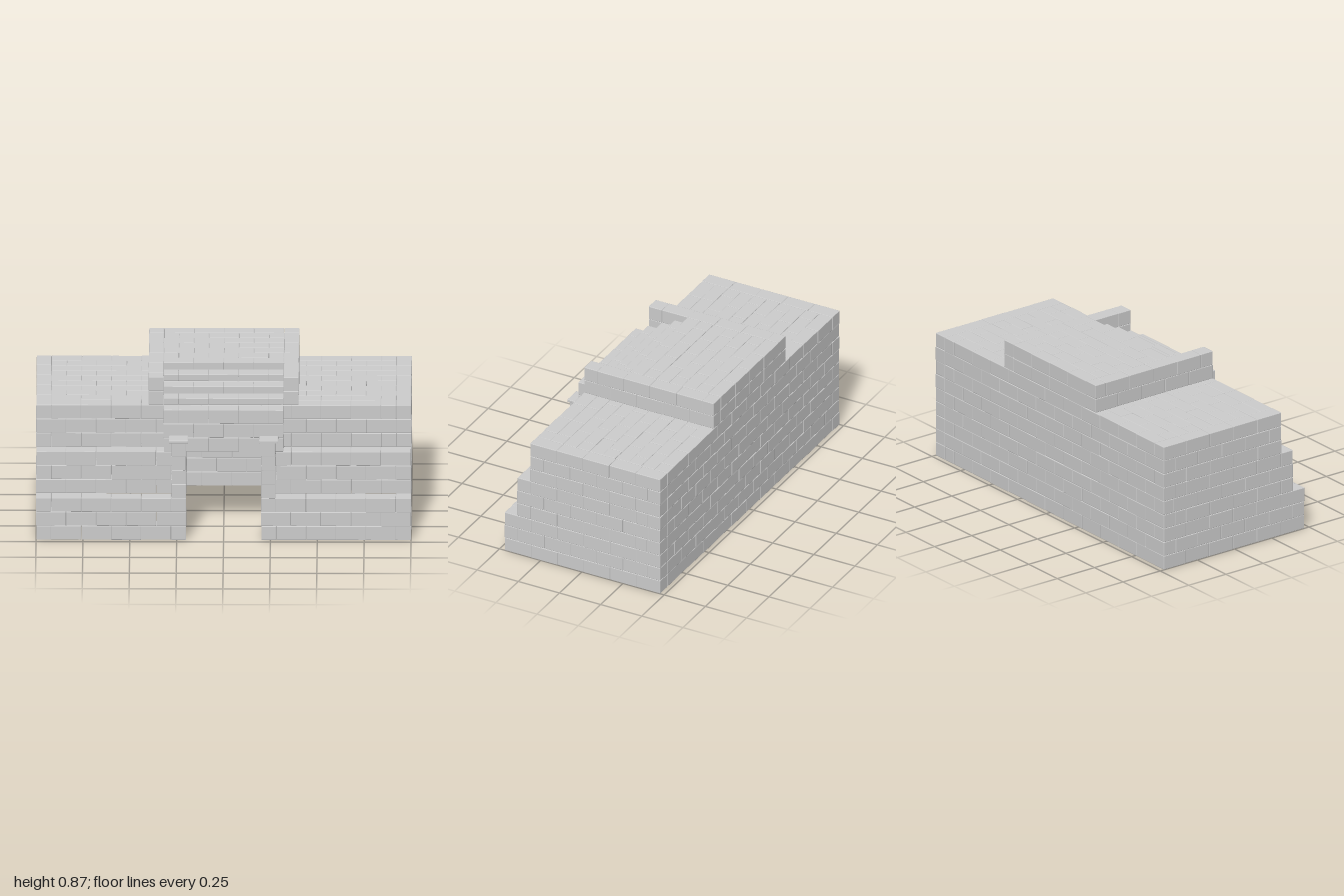
import * as THREE from 'three';
import { RoundedBoxGeometry } from 'three/addons/geometries/RoundedBoxGeometry.js';
import { mergeGeometries } from 'three/addons/utils/BufferGeometryUtils.js';

const H = 0.0787;       // course height
const L = 0.16;         // brick length
const T = 0.08;         // brick thickness
const BACK = -0.475;
const FRONTS = [0.47, 0.393, 0.315]; // front plane of each three-course tier

export function createModel() {
  const model = new THREE.Group();
  const material = new THREE.MeshStandardMaterial({ color: 0xcccccc, flatShading: true });
  const parts = {};
  let seed = 7;
  const wobble = () => ((seed = (seed * 16807) % 2147483647) / 2147483647 - 0.5) * 0.003;

  // one worn brick between two corners
  function brick(part, x0, x1, y0, y1, z0, z1) {
    const [a, b] = [Math.min(x0, x1), Math.max(x0, x1)];
    const g = new RoundedBoxGeometry(b - a, y1 - y0, z1 - z0, 1, 0.003);
    g.translate((a + b) / 2 + wobble(), (y0 + y1) / 2, (z0 + z1) / 2 + wobble());
    (parts[part] ??= []).push(g);
  }

  // split a span into bricks, with a cut brick at the end
  function span(from, to, first, lay) {
    const dir = Math.sign(to - from);
    let p = from, len = first;
    while ((to - p) * dir > 0.01) {
      let q = p + dir * len;
      if ((to - q) * dir < 0.02) q = to;
      lay(p, q);
      p = q;
      len = L;
    }
  }
  const rowX = (part, from, to, y0, y1, z0, z1, first = L) =>
    span(from, to, first, (a, b) => brick(part, a, b, y0, y1, z0, z1));
  const rowZ = (part, x0, x1, y0, y1, from, to, first = L) =>
    span(from, to, first, (a, b) => brick(part, x0, x1, y0, y1, Math.min(a, b), Math.max(a, b)));

  // outer walls, corners interlocking on alternate courses
  for (let c = 0; c < 9; c++) {
    const tier = Math.floor(c / 3);
    const front = FRONTS[tier];
    const y0 = c * H, y1 = y0 + H;
    const inset = c % 2 ? 0 : T;
    const sideInset = T - inset;
    rowX('backWall', -1 + inset, 1 - inset, y0, y1, BACK, BACK + T);
    for (const s of [-1, 1]) {
      rowZ(s > 0 ? 'leftWall' : 'rightWall', s * (1 - T), s, y0, y1, front - sideInset, BACK + sideInset);
      if (tier < 2) rowX('frontWall', s * (1 - inset), s * 0.2, y0, y1, front - T, front);
    }
    if (tier === 2) {
      rowX('upperFrontWall', -1 + inset, 1 - inset, y0, y1, front - T, front);
      rowX('doorLintel', -0.32, 0.32, y0, y1, FRONTS[2], FRONTS[1], c % 2 ? L : L / 2);
    }
  }

  // flat roof filling the top course
  const roofStart = BACK + T, roofEnd = FRONTS[2] - T;
  const roofRows = 8, rowDepth = (roofEnd - roofStart) / roofRows;
  for (let r = 0; r < roofRows; r++) {
    const z = roofStart + r * rowDepth;
    rowX('roof', -1 + T, 1 - T, 8 * H, 9 * H, z, z + rowDepth, r % 2 ? L : L / 2);
  }

  // door columns with thin caps
  for (const s of [-1, 1]) {
    for (let c = 3; c < 7; c++) brick('doorColumns', s * 0.2, s * 0.277, c * H, (c + 1) * H, FRONTS[1], FRONTS[0]);
    brick('columnCaps', s * 0.188, s * 0.29, 7 * H - 0.004, 7 * H + 0.012, 0.388, 0.475);
  }

  // raised platform with four half-height steps at its front
  const base = 9 * H, rows = 10, tread = (FRONTS[2] - BACK) / rows;
  for (let r = 0; r < rows; r++) {
    const z1 = FRONTS[2] - r * tread;
    const top = base + (H / 2) * Math.min(r + 1, 4);
    for (let y = base; y < top - 0.01; y += H) {
      rowX(r < 4 ? 'roofSteps' : 'roofPlatform', -0.32, 0.32, y, Math.min(y + H, top),
        z1 - tread, z1, r % 2 ? L : L / 2);
    }
  }

  // low walls either side of the steps
  for (const s of [-1, 1]) {
    for (let c = 9; c < 11; c++) {
      rowZ('stepSideWalls', s * 0.32, s * 0.4, c * H, (c + 1) * H, FRONTS[2], BACK, c % 2 ? L : L / 2);
    }
  }

  for (const [name, list] of Object.entries(parts)) {
    const mesh = new THREE.Mesh(mergeGeometries(list), material);
    mesh.name = name;
    model.add(mesh);
  }
  return model;
}
